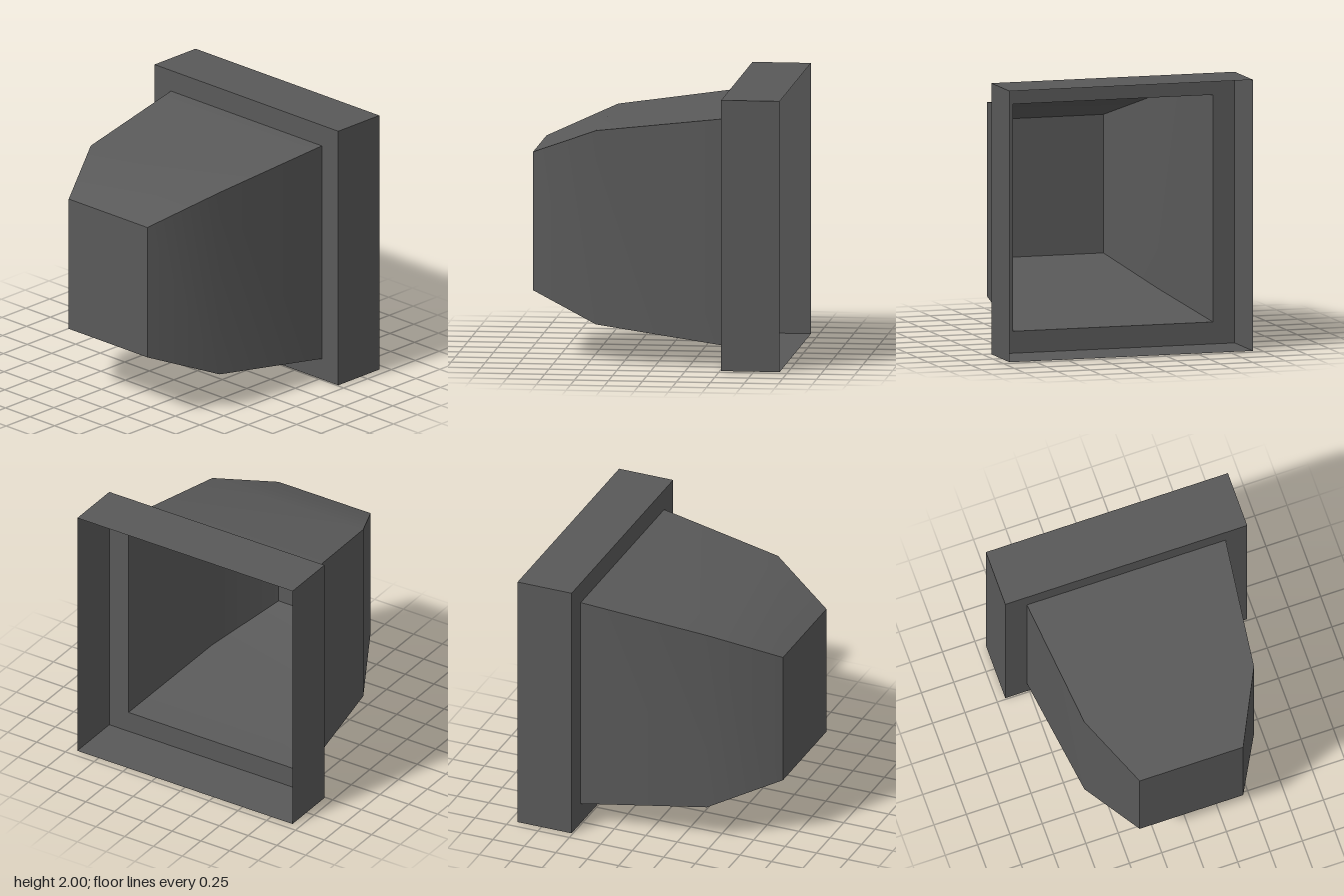
import * as THREE from 'three';

// Corner signs, counterclockwise seen from the front
const CORNERS = [[1, -1], [1, 1], [-1, 1], [-1, -1]];
const CENTRE_Y = 1;

// Four-sided open shell through rectangular rings [z, halfWidth, halfHeight], back to front.
// Each side has its own vertices: smooth along z, sharp at the four corners.
function shell(rings) {
  const pos = [], index = [];
  for (let k = 0; k < 4; k++) {
    const base = pos.length / 3;
    for (const [z, w, h] of rings) {
      for (const [sx, sy] of [CORNERS[k], CORNERS[(k + 1) % 4]]) {
        pos.push(sx * w, CENTRE_Y + sy * h, z);
      }
    }
    for (let i = 0; i < rings.length - 1; i++) {
      const a = base + i * 2;
      index.push(a, a + 1, a + 3, a, a + 3, a + 2);
    }
  }
  const g = new THREE.BufferGeometry();
  g.setAttribute('position', new THREE.Float32BufferAttribute(pos, 3));
  g.setIndex(index);
  g.computeVertexNormals();
  return g;
}

export function createModel() {
  const group = new THREE.Group();
  group.name = 'hollowHousing';
  const darkGrey = new THREE.MeshStandardMaterial({ color: 0x595959, side: THREE.DoubleSide });
  darkGrey.name = 'darkGrey';

  const add = (name, geometry) => {
    const mesh = new THREE.Mesh(geometry, darkGrey);
    mesh.name = name;
    group.add(mesh);
    return mesh;
  };

  // Square collar, open at the back
  add('collarWall', shell([[-0.94, 0.935, 1], [-0.51, 0.935, 1]]));
  // Flat step from the collar in to the body
  add('collarStep', shell([[-0.51, 0.935, 1], [-0.51, 0.768, 0.838]]));
  // Tapered hollow body
  add('taperedBody', shell([[-0.51, 0.768, 0.838], [0.445, 0.656, 0.716], [0.94, 0.4, 0.511]]));
  // Flat front face
  add('frontFace', new THREE.PlaneGeometry(0.8, 1.022)).position.set(0, CENTRE_Y, 0.94);

  return group;
}
